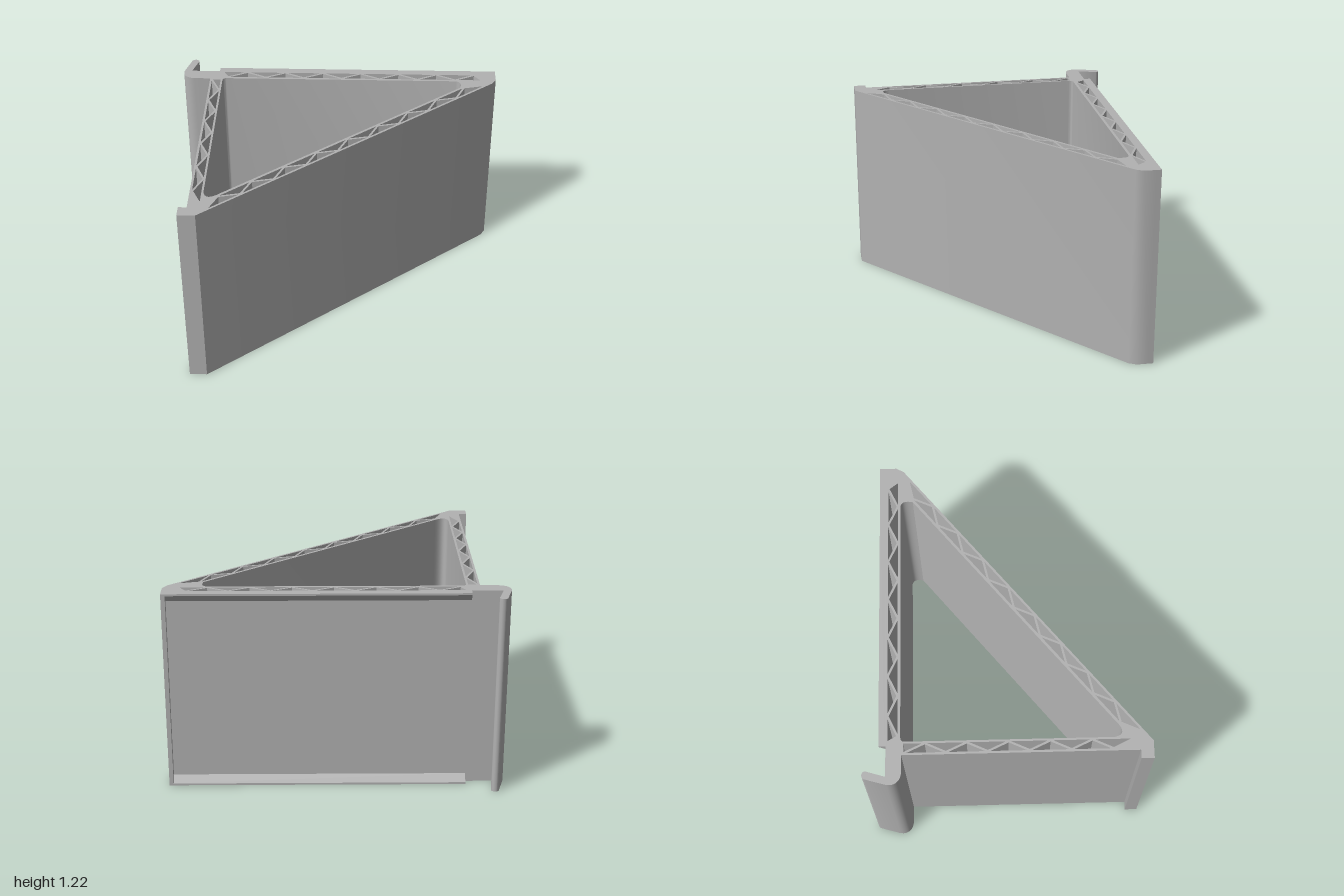
import * as THREE from 'three';
import { toCreasedNormals } from 'three/addons/utils/BufferGeometryUtils.js';

const H = 1.22; // height of the extruded profile

// plan points are [x, z]; the shape plane uses y = -z
const pts = (list) => list.map(([x, z]) => new THREE.Vector2(x, -z));

// Triangular openings of a truss wall. Apexes alternate between side a and side b.
// at(t, s) maps distance along / across the wall to plan coordinates.
function trussCells(at, { first, half, count, a, b, tMin, tMax, m }) {
  const clamp = (t) => Math.min(tMax, Math.max(tMin, t));
  const cells = [];
  for (let i = 0; i < count; i++) {
    const t = first + i * half;
    const [base, far] = i % 2 ? [b, a] : [a, b];
    const peak = base + (far - base) * (1 - m / half);
    cells.push(new THREE.Path(pts([
      at(clamp(t + m), base),
      at(clamp(t + 2 * half - m), base),
      at(clamp(t + half), peak),
    ])));
  }
  return cells;
}

export function createModel() {
  const group = new THREE.Group();
  const grey = new THREE.MeshStandardMaterial({ color: 0xb2b2b2 });
  grey.name = 'grey';
  const add = (name, geometry) => {
    const mesh = new THREE.Mesh(geometry, grey);
    mesh.name = name;
    group.add(mesh);
    return mesh;
  };

  // outer outline: foot, sloping wall, back panel, hook, side wall
  const s = new THREE.Shape();
  const line = (list) => list.forEach(([x, z]) => s.lineTo(x, -z));
  s.moveTo(-0.875, -0.83);
  line([[-0.77, 0.83], [0.975, -0.60], [1, -0.645], [1, -0.71], [-0.77, -0.71], [-0.77, -0.705], [-0.95, -0.705], [-0.915, -0.82]]);
  s.bezierCurveTo(-0.915, 0.845, -0.955, 0.85, -0.962, 0.825);
  line([[-0.998, -0.70]]);
  s.bezierCurveTo(-1.006, 0.65, -0.975, 0.617, -0.925, 0.615);
  line([[-0.825, -0.615], [-0.825, 0.755], [-0.875, 0.755]]);
  s.closePath();

  // central triangular cavity with softened corners
  const cavity = new THREE.Path();
  cavity.moveTo(-0.72, 0.62);
  cavity.lineTo(0.745, 0.62);
  cavity.quadraticCurveTo(0.785, 0.61, 0.77, 0.546);
  cavity.lineTo(-0.655, -0.622);
  cavity.bezierCurveTo(-0.70, -0.665, -0.735, -0.665, -0.745, -0.61);
  cavity.lineTo(-0.745, 0.595);
  cavity.quadraticCurveTo(-0.745, 0.62, -0.72, 0.62);
  s.holes.push(cavity);

  // back wall openings
  s.holes.push(...trussCells((t, v) => [t, v], {
    first: -0.832, half: 0.121, count: 14, a: -0.694, b: -0.636, tMin: -0.74, tMax: 0.9, m: 0.015,
  }));
  // side wall openings
  s.holes.push(...trussCells((t, v) => [v, t], {
    first: -0.72, half: 0.12, count: 11, a: -0.757, b: -0.812, tMin: -0.605, tMax: 0.7, m: 0.015,
  }));
  // sloping wall openings
  s.holes.push(...trussCells((t, v) => [-0.77 + 0.773 * t - 0.634 * v, 0.83 - 0.634 * t - 0.773 * v], {
    first: 0.083, half: 0.1175, count: 17, a: 0.013, b: 0.072, tMin: 0.083, tMax: 2.19, m: 0.014,
  }));

  const body = new THREE.ExtrudeGeometry(s, { depth: H, bevelEnabled: false, curveSegments: 8 });
  body.rotateX(-Math.PI / 2);
  add('trussBody', toCreasedNormals(body, 0.6));

  // retaining lips along the top and bottom of the back panel
  const profile = [[0.71, 0], [0.745, 0], [0.745, 0.012], [0.71, 0.055]];
  for (const top of [false, true]) {
    const shape = new THREE.Shape(profile.map(([d, y]) => new THREE.Vector2(d, top ? H - y : y)));
    const lip = new THREE.ExtrudeGeometry(shape, { depth: 1.77, bevelEnabled: false });
    lip.rotateY(Math.PI / 2);
    lip.translate(-0.77, 0, 0);
    add(top ? 'topLip' : 'bottomLip', lip);
  }

  // end stop closing the panel recess
  add('endStop', new THREE.BoxGeometry(0.025, H, 0.035)).position.set(0.9875, H / 2, -0.7275);

  return group;
}
